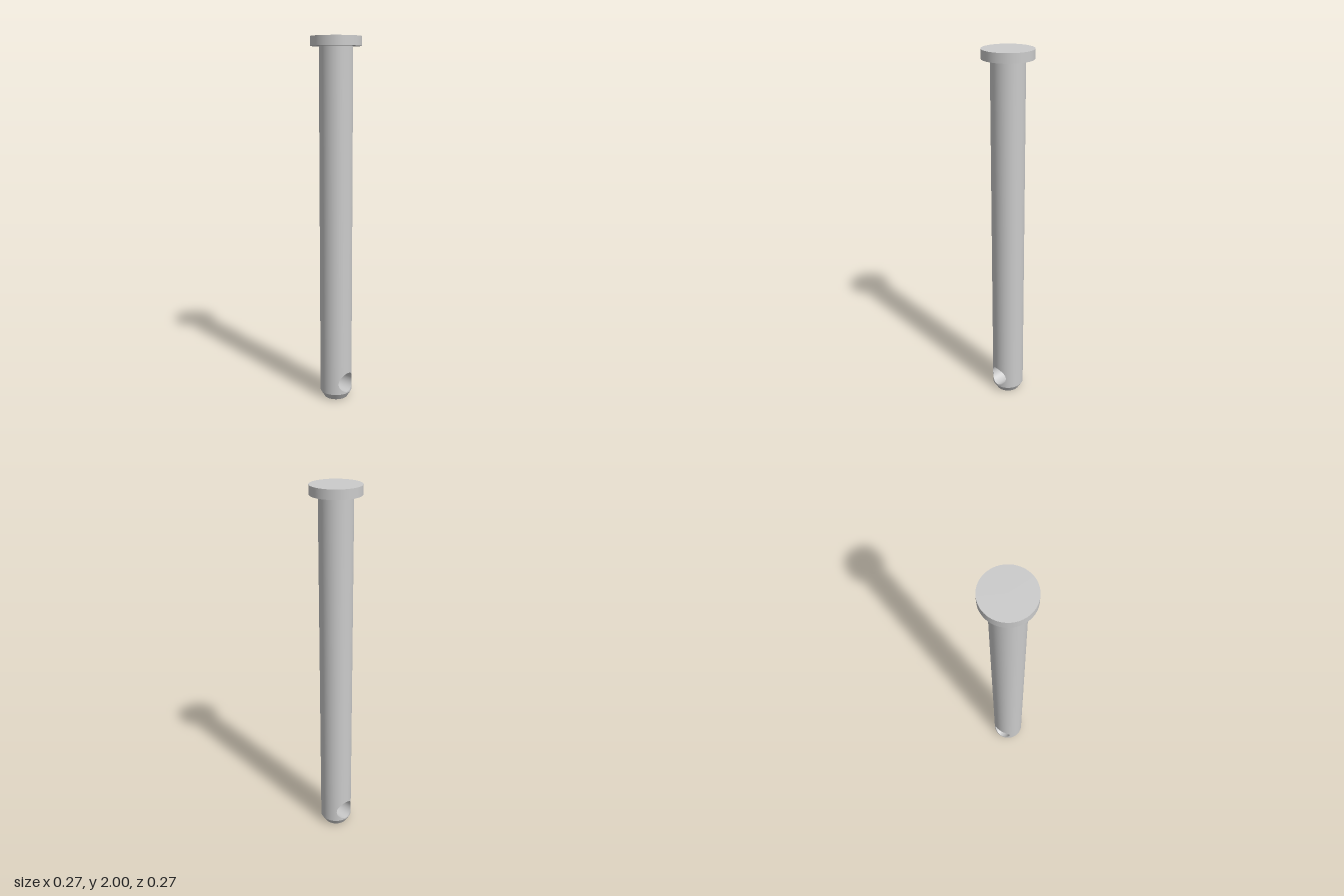
import * as THREE from 'three';
import { ParametricGeometry } from 'three/addons/geometries/ParametricGeometry.js';

const SIDES = 48;
const R = 0.089;                                   // shaft radius
const HOLE_R = 0.056, HOLE_Y = 0.101;              // cross hole
const BAND_BOTTOM = 0.037, BAND_TOP = 0.2;         // drilled part of the shaft
const HEAD_R = 0.134, HEAD_BOTTOM = 1.951, TOP = 2;

const clamp = (v) => THREE.MathUtils.clamp(v, -1, 1);

// Half of the drilled band: spreads from the hole's rim out to the half sleeve's border
function drilledHalf(u, v, target) {
  const t = u * Math.PI * 2;
  const rimAngle = Math.asin(HOLE_R * Math.cos(t) / R);
  const rimY = HOLE_Y + HOLE_R * Math.sin(t);
  const sx = clamp(4 / Math.PI * Math.asin(clamp(Math.cos(t))));
  const sy = clamp(4 / Math.PI * Math.asin(clamp(Math.sin(t))));
  const edgeY = HOLE_Y + sy * (sy > 0 ? BAND_TOP - HOLE_Y : HOLE_Y - BAND_BOTTOM);
  const a = THREE.MathUtils.lerp(rimAngle, sx * Math.PI / 2, v);
  target.set(R * Math.cos(a), THREE.MathUtils.lerp(rimY, edgeY, v), R * Math.sin(a));
}

// Wall of the cross hole, ending on the shaft's surface at both sides
function boreWall(u, v, target) {
  const t = u * Math.PI * 2;
  const z = HOLE_R * Math.cos(t);
  target.set((2 * v - 1) * Math.sqrt(R * R - z * z), HOLE_Y + HOLE_R * Math.sin(t), z);
}

export function createModel() {
  const group = new THREE.Group();
  const material = new THREE.MeshStandardMaterial({ color: 0xcccccc });

  const add = (name, geometry, y = 0) => {
    const mesh = new THREE.Mesh(geometry, material);
    mesh.name = name;
    mesh.position.y = y;
    group.add(mesh);
    return mesh;
  };
  const cylinder = (name, rTop, rBottom, y0, y1, open = false) =>
    add(name, new THREE.CylinderGeometry(rTop, rBottom, y1 - y0, SIDES, 1, open), (y0 + y1) / 2);

  // Flat head and plain shaft
  cylinder('head', HEAD_R, HEAD_R, HEAD_BOTTOM, TOP);
  cylinder('shaft', R, R, BAND_TOP, HEAD_BOTTOM, true);

  // Drilled end: two mirrored halves and the bore between them
  const half = new ParametricGeometry(drilledHalf, SIDES * 2, 10);
  add('drilledBandLeft', half);
  add('drilledBandRight', half).rotation.y = Math.PI;
  add('crossHole', new ParametricGeometry(boreWall, SIDES * 2, 4));

  // Chamfered tip
  cylinder('chamferedTip', R, 0.066, 0, BAND_BOTTOM);

  return group;
}
